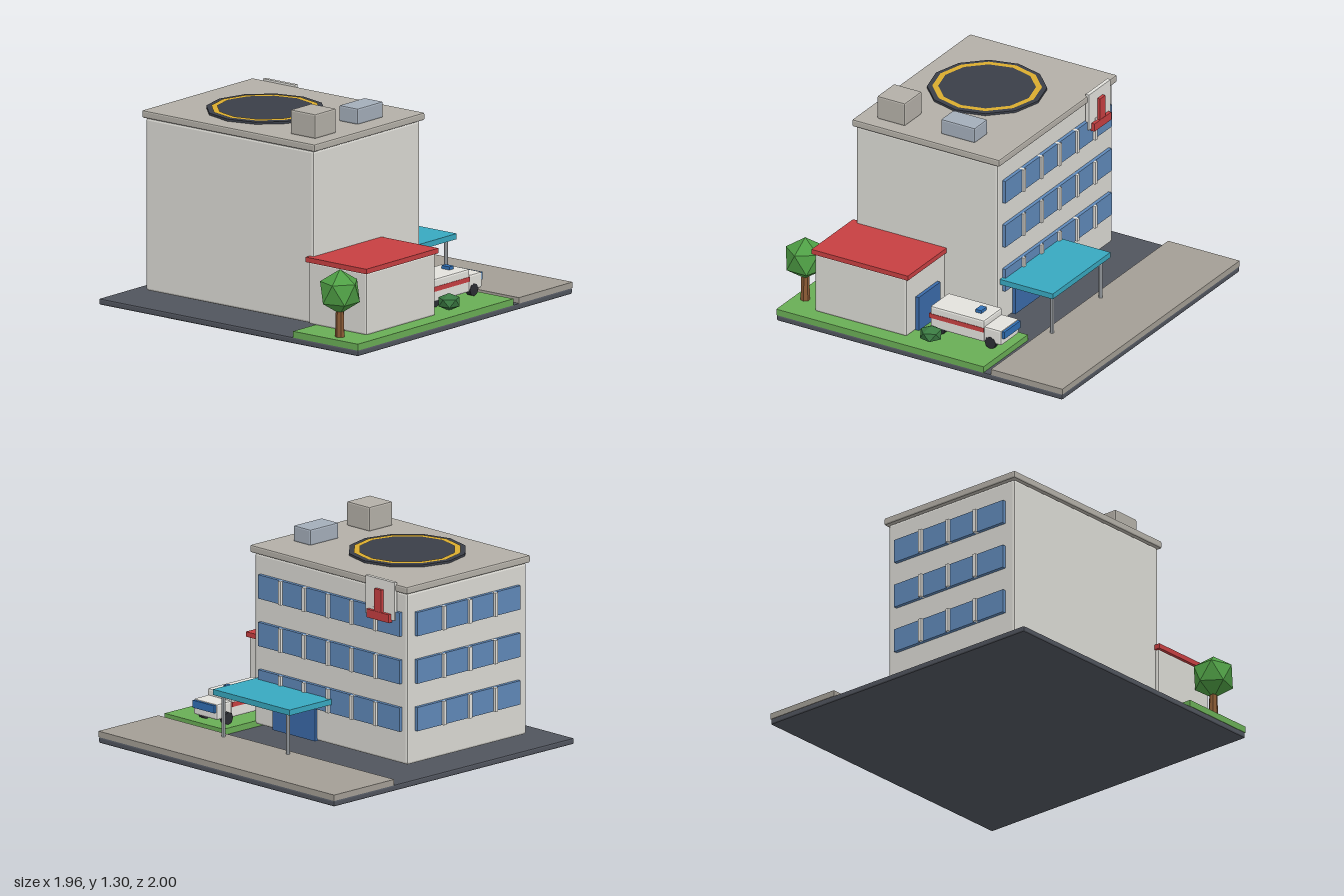
import * as THREE from 'three';
import { RoundedBoxGeometry } from 'three/addons/geometries/RoundedBoxGeometry.js';

const mats = {};
function mat(color) {
  return (mats[color] ??= new THREE.MeshStandardMaterial({ color, flatShading: true }));
}
const C = {
  asphalt: 0x50545d, paving: 0xa39e95, grass: 0x69ad55, wall: 0xdad9d3, roof: 0xb3afa7,
  pad: 0x3a3e48, yellow: 0xd9ab2e, glass: 0x5f88b8, door: 0x3a6aa8, red: 0xc63f41,
  teal: 0x38a8c0, metal: 0xb4b9be, unit: 0xa3adb9, white: 0xe2e1dc, blue: 0x2f6fb5,
  tyre: 0x2b2d33, bark: 0x8a5a34, leaf: 0x4f9f45, bush: 0x3a7a42,
};

export function createModel() {
  const model = new THREE.Group();
  model.name = 'hospital';

  function add(name, geometry, color, x = 0, y = 0, z = 0, parent = model) {
    const mesh = new THREE.Mesh(geometry, mat(color));
    mesh.name = name;
    mesh.position.set(x, y, z);
    parent.add(mesh);
    return mesh;
  }
  // Box given by its limits on each axis; bevel > 0 chamfers the edges
  function box(name, color, [x0, x1], [y0, y1], [z0, z1], bevel = 0, parent = model) {
    const s = [x1 - x0, y1 - y0, z1 - z0];
    const geo = bevel ? new RoundedBoxGeometry(...s, 1, bevel) : new THREE.BoxGeometry(...s);
    return add(name, geo, color, (x0 + x1) / 2, (y0 + y1) / 2, (z0 + z1) / 2, parent);
  }
  function group(name) {
    const g = new THREE.Group();
    g.name = name;
    model.add(g);
    return g;
  }

  // Ground
  box('groundSlab', C.asphalt, [-0.98, 0.98], [0, 0.038], [-1, 0.96], 0.01);
  box('pavement', C.paving, [-0.98, 0.98], [0.036, 0.072], [-1, -0.51]);
  box('lawn', C.grass, [0.49, 0.98], [0.036, 0.075], [-0.46, 0.96]);

  // Main block and roof
  box('mainBuilding', C.wall, [-0.81, 0.46], [0.07, 1.107], [-0.235, 0.737], 0.014);
  box('mainRoof', C.roof, [-0.827, 0.48], [1.107, 1.153], [-0.257, 0.753], 0.01);
  box('stairHouse', C.roof, [0.2, 0.39], [1.15, 1.298], [0.445, 0.637], 0.01);
  box('airConditioner', C.unit, [0.22, 0.363], [1.15, 1.247], [-0.017, 0.217], 0.01);

  // Helipad
  const pad = group('helipad');
  pad.position.set(-0.272, 0, 0.292);
  add('padDisc', new THREE.CylinderGeometry(0.35, 0.35, 0.015, 12), C.pad, 0, 1.159, 0, pad);
  const ring = add('padRing', new THREE.RingGeometry(0.285, 0.32, 12), C.yellow, 0, 1.169, 0, pad);
  ring.rotation.x = -Math.PI / 2;

  // Window bands on the back and the right-hand wall, split by mullions
  const windows = group('windows');
  for (const y of [0.268, 0.555, 0.842]) {
    const rows = [y, y + 0.144];
    box('backGlass', C.glass, [-0.765, 0.41], rows, [-0.257, -0.23], 0, windows);
    for (let i = -2; i <= 2; i++) {
      const x = -0.177 + i * 0.197;
      box('backMullion', C.white, [x - 0.011, x + 0.011], rows, [-0.272, -0.23], 0, windows);
    }
    box('sideGlass', C.glass, [-0.832, -0.8], rows, [-0.173, 0.667], 0, windows);
    for (let i = -1; i <= 1; i++) {
      const z = 0.247 + i * 0.21;
      box('sideMullion', C.white, [-0.847, -0.8], rows, [z - 0.011, z + 0.011], 0, windows);
    }
  }

  // Wall sign
  const sign = group('wallSign');
  box('signPanel', C.white, [-0.735, -0.495], [0.935, 1.165], [-0.268, -0.245], 0, sign);
  box('signUpright', C.red, [-0.645, -0.587], [0.92, 1.105], [-0.287, -0.262], 0, sign);
  box('signBar', C.red, [-0.708, -0.523], [0.92, 0.97], [-0.289, -0.262], 0, sign);

  // Entrance with canopy
  box('entranceDoor', C.door, [-0.06, 0.295], [0.07, 0.27], [-0.253, -0.22]);
  box('canopy', C.teal, [-0.2, 0.437], [0.32, 0.354], [-0.598, -0.235]);
  for (const x of [-0.15, 0.386])
    add('canopyPost', new THREE.CylinderGeometry(0.012, 0.012, 0.25, 8), C.metal, x, 0.196, -0.562);

  // Side wing
  box('wing', C.wall, [0.44, 0.88], [0.072, 0.448], [0.13, 0.76], 0.012);
  box('wingRoof', C.red, [0.43, 0.89], [0.445, 0.475], [0.115, 0.775]);
  box('wingDoor', C.door, [0.54, 0.78], [0.075, 0.29], [0.108, 0.14]);

  // Ambulance
  const van = group('ambulance');
  box('vanBody', C.white, [0.557, 0.761], [0.105, 0.246], [-0.328, 0.043], 0.012, van);
  box('vanCab', C.white, [0.561, 0.757], [0.11, 0.207], [-0.444, -0.32], 0.012, van);
  box('vanStripe', C.red, [0.554, 0.764], [0.17, 0.198], [-0.325, 0.047], 0, van);
  box('windscreen', C.blue, [0.57, 0.747], [0.155, 0.2], [-0.459, -0.435], 0, van);
  box('beacon', C.blue, [0.63, 0.69], [0.243, 0.265], [-0.265, -0.225], 0, van);
  for (const x of [0.56, 0.742])
    for (const z of [-0.368, -0.02]) {
      const wheel = add('wheel', new THREE.CylinderGeometry(0.038, 0.038, 0.035, 8), C.tyre, x, 0.112, z, van);
      wheel.rotation.z = Math.PI / 2;
    }

  // Tree and bush: icosahedra with a corner pointing up
  function crown(name, color, r, x, y, z, squash, turn) {
    const geo = new THREE.IcosahedronGeometry(r, 0);
    geo.rotateX(-Math.atan((1 + Math.sqrt(5)) / 2)).rotateY(turn).scale(1, squash, 1);
    return add(name, geo, color, x, y, z);
  }
  add('treeTrunk', new THREE.CylinderGeometry(0.023, 0.029, 0.2, 7), C.bark, 0.782, 0.17, 0.885);
  crown('treeCrown', C.leaf, 0.13, 0.782, 0.345, 0.885, 1.03, 0.3);
  crown('bush', C.bush, 0.072, 0.856, 0.122, -0.022, 0.72, 0.1);

  return model;
}
